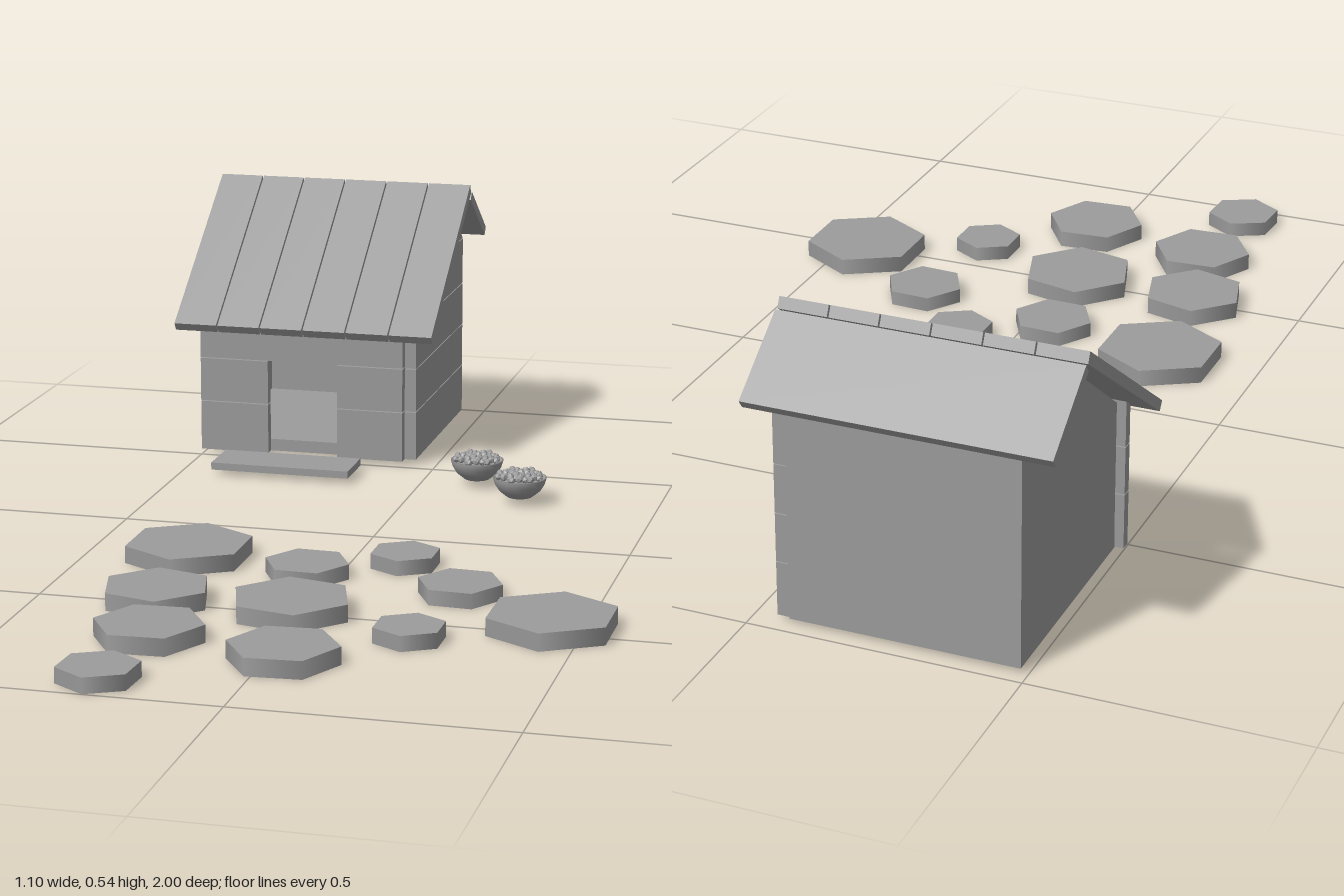
import * as THREE from 'three';

const GREY = 0x9c9c9c;
const material = new THREE.MeshStandardMaterial({ color: GREY, flatShading: true });
const openMaterial = new THREE.MeshStandardMaterial({ color: GREY, side: THREE.DoubleSide });

function add(parent, name, geometry, mat = material) {
  const mesh = new THREE.Mesh(geometry, mat);
  mesh.name = name;
  parent.add(mesh);
  return mesh;
}

// Box given by its limits on each axis
function box(parent, name, [x0, x1], [y0, y1], [z0, z1]) {
  const g = new THREE.BoxGeometry(x1 - x0, y1 - y0, z1 - z0);
  g.translate((x0 + x1) / 2, (y0 + y1) / 2, (z0 + z1) / 2);
  return add(parent, name, g);
}

// Side profile of [distance back (-z), y] points, extruded from x0 to x1
function prism(parent, name, points, x0, x1) {
  const shape = new THREE.Shape(points.map(([u, y]) => new THREE.Vector2(u, y)));
  const g = new THREE.ExtrudeGeometry(shape, { depth: x1 - x0, bevelEnabled: false });
  g.rotateY(Math.PI / 2).translate(x0, 0, 0);
  return add(parent, name, g);
}

// Removes a range of triangles, to leave a geometry open below
function withoutFaces(geometry, start, count) {
  const index = Array.from(geometry.index.array);
  index.splice(start * 3, count * 3);
  geometry.setIndex(index);
  geometry.clearGroups();
  return geometry;
}

function createHouse() {
  const house = new THREE.Group();
  house.name = 'house';
  const left = -0.503, coreLeft = -0.487, inner = -0.068, right = -0.044;
  const front = -0.511, wall = -0.533, back = -0.973, boardBack = -0.968;

  // Floor and plain walls
  box(house, 'floor', [coreLeft, inner - 0.001], [0.009, 0.034], [back, wall]);
  box(house, 'backWall', [coreLeft, inner - 0.001], [0.009, 0.395], [back, back + 0.02]);
  for (const x of [coreLeft, inner - 0.013]) {
    prism(house, 'sideWall', [
      [0.535, 0.009], [0.973, 0.009], [0.973, 0.395], [0.861, 0.485], [0.797, 0.485], [0.535, 0.292],
    ], x, x + 0.012);
  }

  // Front boards around the doorway
  for (const [y0, y1] of [[0.009, 0.113], [0.115, 0.206]]) {
    box(house, 'frontBoard', [left, -0.357], [y0, y1], [wall + 0.002, front]);
    box(house, 'frontBoard', [-0.208, inner], [y0, y1], [wall + 0.002, front]);
  }
  box(house, 'frontTopBoard', [left, inner], [0.208, 0.298], [wall + 0.002, front]);

  // Boards of the planked side wall, the upper ones cut to the roof slope
  for (const [y0, y1] of [[0.009, 0.11], [0.112, 0.202], [0.204, 0.294]]) {
    box(house, 'sideBoard', [inner, right], [y0, y1], [boardBack, wall]);
  }
  prism(house, 'sideBoard', [[0.534, 0.296], [0.968, 0.296], [0.968, 0.394], [0.666, 0.394]], inner, right);
  prism(house, 'gableBoard', [[0.669, 0.396], [0.966, 0.396], [0.861, 0.485], [0.797, 0.485]], inner, right);

  // Roof: six front planks and one short back slab
  const pitch = 0.55 / 6;
  for (let i = 0; i < 6; i++) {
    const x = -0.55 + i * pitch;
    prism(house, 'roofPlank', [[0.481, 0.284], [0.84, 0.537], [0.849, 0.518], [0.492, 0.268]],
      x + (i ? 0.0015 : 0), x + pitch - (i < 5 ? 0.0015 : 0));
  }
  prism(house, 'backRoof', [[0.857, 0.52], [1, 0.416], [0.988, 0.4], [0.846, 0.504]], -0.55, 0);

  // Plank in front of the doorway, open below (its bottom is the fourth side)
  const step = add(house, 'doorstep',
    withoutFaces(new THREE.BoxGeometry(0.29, 0.015, 0.105), 6, 2), openMaterial);
  step.position.set(-0.288, 0.0185, -0.402);
  return house;
}

function createBowl(x, z) {
  const bowl = new THREE.Group();
  bowl.name = 'foodBowl';
  const profile = [
    [0, 0.02], [0.023, 0.02], [0.026, 0.013], [0.03, 0.016], [0.042, 0.026], [0.05, 0.039],
    [0.054, 0.052], [0.051, 0.053], [0.046, 0.046], [0, 0.046],
  ];
  add(bowl, 'bowl', new THREE.LatheGeometry(profile.map((p) => new THREE.Vector2(...p)), 20), openMaterial);

  // Heap of food pieces in a spiral
  const count = 45;
  for (let i = 0; i < count; i++) {
    const r = 0.045 * Math.sqrt((i + 0.5) / count);
    const a = i * 2.39996;
    const piece = add(bowl, 'foodPiece', new THREE.IcosahedronGeometry(0.0075, 0));
    piece.position.set(r * Math.cos(a), 0.057 - 0.07 * r + 0.0015 * (i % 3), r * Math.sin(a));
    piece.rotation.set(i, i * 2, 0);
  }
  bowl.position.set(x, 0, z);
  return bowl;
}

// Hexagonal stepping stones: x, z, radius, turn in degrees
const stones = [
  [-0.303, 0.219, 0.123, 0], [-0.057, 0.274, 0.081, 28], [0.104, 0.168, 0.068, 0],
  [0.245, 0.325, 0.08, 27], [0.444, 0.476, 0.123, 0], [-0.279, 0.492, 0.103, 15],
  [-0.025, 0.497, 0.114, 17], [0.214, 0.592, 0.067, 0], [-0.226, 0.698, 0.101, 33],
  [0.033, 0.756, 0.101, 34], [-0.242, 0.925, 0.074, -3],
];

export function createModel() {
  const model = new THREE.Group();
  model.name = 'petHouseYard';
  model.add(createHouse(), createBowl(0.113, -0.414), createBowl(0.224, -0.305));
  for (const [x, z, r, turn] of stones) {
    const h = r > 0.09 ? 0.033 : 0.029;
    // Softly shaded sides, open below: the last six triangles are the bottom cap
    const geometry = withoutFaces(new THREE.CylinderGeometry(r, r, h, 6), 18, 6);
    const stone = add(model, 'steppingStone', geometry, openMaterial);
    stone.position.set(x, h / 2, z);
    stone.rotation.y = THREE.MathUtils.degToRad(turn);
  }
  return model;
}
